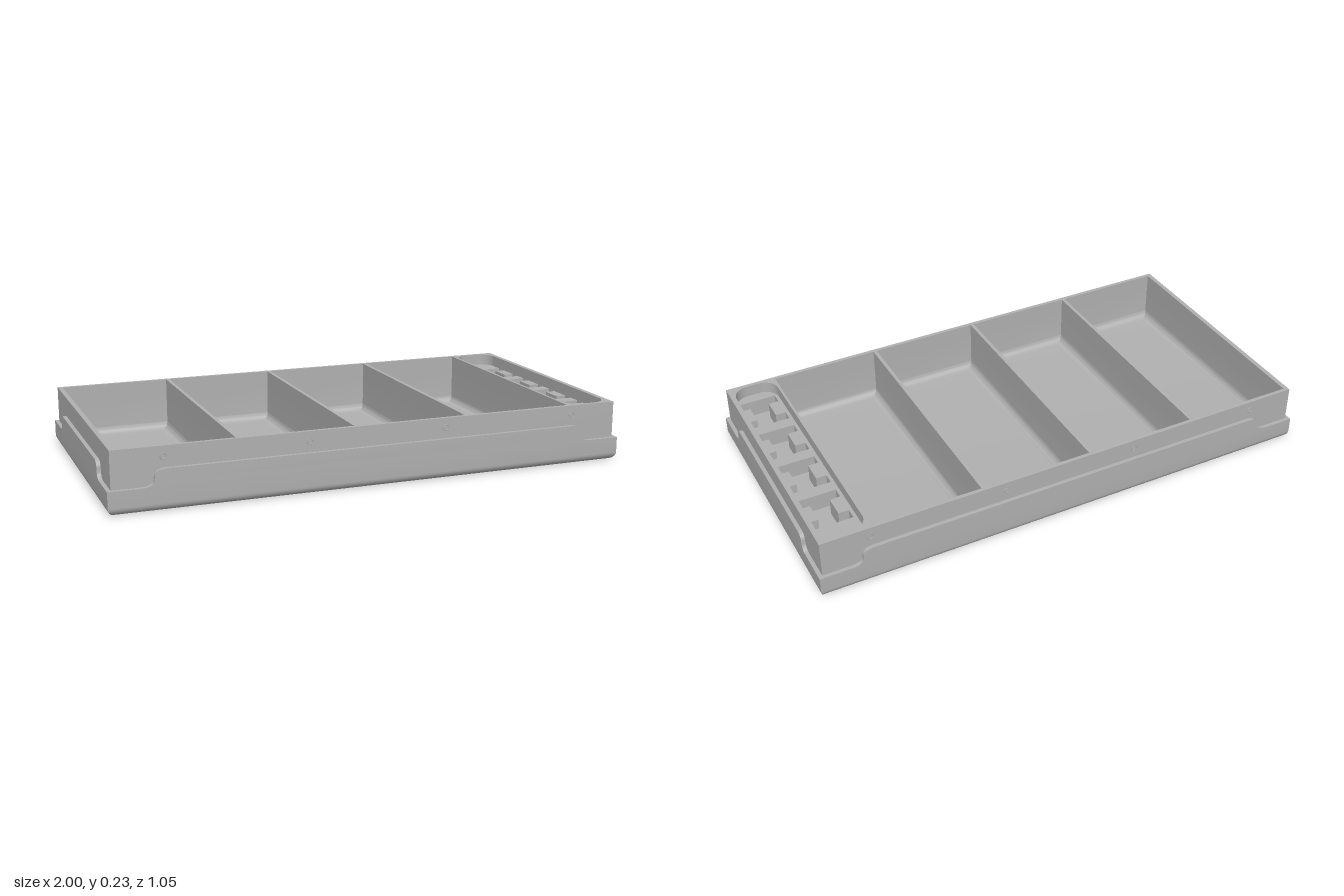
import * as THREE from 'three';
import { toCreasedNormals } from 'three/addons/utils/BufferGeometryUtils.js';

const TOP = 0.23, LEDGE = 0.185;

// Surface through rectangular rings [halfX, halfZ, y], facing outward when rising
function loft(rings) {
  const pos = [], index = [];
  for (const [hx, hz, y] of rings) pos.push(hx, y, hz, hx, y, -hz, -hx, y, -hz, -hx, y, hz);
  for (let r = 0; r < rings.length - 1; r++) {
    for (let i = 0; i < 4; i++) {
      const a = r * 4 + i, b = r * 4 + (i + 1) % 4;
      index.push(a, b, b + 4, a, b + 4, a + 4);
    }
  }
  const geo = new THREE.BufferGeometry();
  geo.setAttribute('position', new THREE.Float32BufferAttribute(pos, 3));
  geo.setIndex(index);
  geo.computeVertexNormals();
  return toCreasedNormals(geo, 0.6);
}

// Rectangle in plan, with optional corner radius
function rectPath(Type, x0, x1, z0, z1, r = 0) {
  const p = new Type();
  p.moveTo(x0 + r, z0);
  p.lineTo(x1 - r, z0);
  if (r) p.absarc(x1 - r, z0 + r, r, -Math.PI / 2, 0);
  p.lineTo(x1, z1 - r);
  if (r) p.absarc(x1 - r, z1 - r, r, 0, Math.PI / 2);
  p.lineTo(x0 + r, z1);
  if (r) p.absarc(x0 + r, z1 - r, r, Math.PI / 2, Math.PI);
  p.lineTo(x0, z0 + r);
  if (r) p.absarc(x0 + r, z0 + r, r, Math.PI, Math.PI * 1.5);
  return p;
}

// Plan shape extruded upward from y0 to y1
function slab(shape, y0, y1) {
  const geo = new THREE.ExtrudeGeometry(shape, { depth: y1 - y0, bevelEnabled: false, curveSegments: 8 });
  return geo.rotateX(-Math.PI / 2).translate(0, y0, 0);
}

// Raised skirt panel with S-curved ends
function skirtGeometry(half, run) {
  const y0 = 0.09, y1 = 0.153, ym = (y0 + y1) / 2, xm = half - run / 2;
  const s = new THREE.Shape();
  s.moveTo(-half, y0);
  s.lineTo(half, y0);
  s.quadraticCurveTo(xm, y0, xm, ym);
  s.quadraticCurveTo(xm, y1, half - run, y1);
  s.lineTo(run - half, y1);
  s.quadraticCurveTo(-xm, y1, -xm, ym);
  s.quadraticCurveTo(-xm, y0, -half, y0);
  const geo = new THREE.ExtrudeGeometry(s, { depth: 0.015, bevelEnabled: false, curveSegments: 10 });
  return toCreasedNormals(geo, 0.6);
}

export function createModel() {
  const group = new THREE.Group();
  const grey = new THREE.MeshStandardMaterial({ color: 0xb0b0b0 });
  grey.name = 'grey';
  const add = (name, geo) => {
    const mesh = new THREE.Mesh(geo, grey);
    mesh.name = name;
    group.add(mesh);
    return mesh;
  };

  // Outer shell: rounded bottom edge, low step, upright walls
  const R = 0.03, shell = [[0, 0, 0]];
  for (let i = 0; i <= 8; i++) {
    const a = i / 8 * Math.PI / 2, inset = R * (1 - Math.sin(a));
    shell.push([1 - inset, 0.525 - inset, R * (1 - Math.cos(a))]);
  }
  shell.push([1, 0.525, 0.09], [0.985, 0.51, 0.09], [0.985, 0.51, LEDGE]);
  add('outerShell', loft(shell));

  // Upper rim with openings for the compartments and the slotted tray
  const bays = [[-0.967, -0.538], [-0.524, -0.094], [-0.08, 0.35], [0.364, 0.787]];
  const rim = rectPath(THREE.Shape, -0.985, 0.985, -0.51, 0.51);
  for (const [a, b] of bays) rim.holes.push(rectPath(THREE.Path, a, b, -0.495, 0.495));
  rim.holes.push(rectPath(THREE.Path, 0.797, 0.966, -0.495, 0.495, 0.06));
  add('rim', slab(rim, LEDGE, TOP));

  // Compartments with a filleted floor
  bays.forEach(([a, b], n) => {
    const hx = (b - a) / 2, rings = [[hx, 0.495, LEDGE]];
    for (let i = 0; i <= 8; i++) {
      const t = i / 8 * Math.PI / 2, inset = R * (1 - Math.cos(t));
      rings.push([hx - inset, 0.495 - inset, 0.022 + R * (1 - Math.sin(t))]);
    }
    rings.push([0, 0, 0.022]);
    add('compartment' + (n + 1), loft(rings)).position.x = (a + b) / 2;
  });

  // Tray floor with four waisted slots
  const tray = rectPath(THREE.Shape, 0.79, 0.975, -0.5, 0.5);
  for (const z of [-0.295, -0.075, 0.145, 0.365]) {
    const slot = new THREE.Path();
    const pts = [[0.81, 0.085], [0.965, 0.085], [0.965, 0.042], [0.925, 0.042], [0.925, -0.042], [0.965, -0.042],
      [0.965, -0.085], [0.81, -0.085], [0.81, -0.042], [0.85, -0.042], [0.85, 0.042], [0.81, 0.042]];
    slot.setFromPoints(pts.map(([x, dz]) => new THREE.Vector2(x, dz - z)));
    slot.closePath();
    tray.holes.push(slot);
  }
  add('slottedTray', slab(tray, 0.12, LEDGE));
  add('slotFloor', new THREE.BoxGeometry(0.185, 0.02, 1).translate(0.8825, 0.11, 0));

  // Raised skirt panels on all four sides
  const longSkirt = skirtGeometry(0.88, 0.09), shortSkirt = skirtGeometry(0.385, 0.065);
  for (const side of [0, 1]) {
    const front = add(side ? 'backSkirt' : 'frontSkirt', longSkirt);
    front.rotation.y = side * Math.PI;
    front.position.z = side ? -0.51 : 0.51;
    const end = add(side ? 'rightSkirt' : 'leftSkirt', shortSkirt);
    end.rotation.y = side ? -Math.PI / 2 : Math.PI / 2;
    end.position.x = side ? -0.985 : 0.985;
  }

  // Small fixing holes along the long walls
  const ring = new THREE.TorusGeometry(0.011, 0.0015, 6, 20);
  for (const z of [-0.51, 0.51]) {
    for (const x of [-0.8, -0.267, 0.267, 0.8]) add('fixingHole', ring).position.set(x, 0.193, z);
  }
  return group;
}
